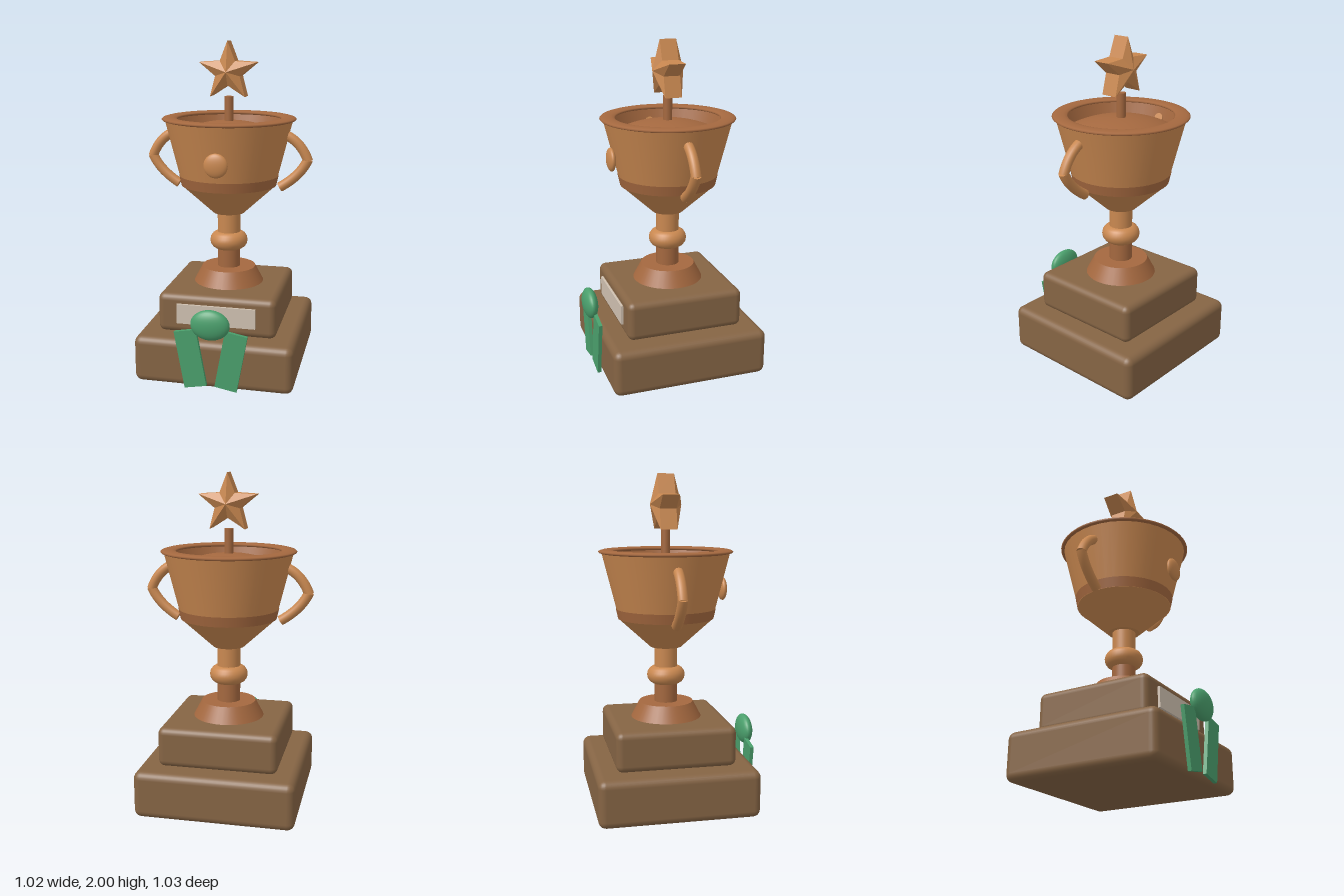
import * as THREE from 'three';
import { RoundedBoxGeometry } from 'three/addons/geometries/RoundedBoxGeometry.js';

const CZ = -0.037; // axis of the cup in z

function material(name, color, side = THREE.FrontSide) {
  const m = new THREE.MeshStandardMaterial({ color, side });
  m.name = name;
  return m;
}

// Five-pointed star with straight rim walls and a raised centre on both faces
function starGeometry(outer, inner, edge, peak) {
  const rim = [];
  for (let i = 0; i < 10; i++) {
    const a = Math.PI / 2 + (i * Math.PI) / 5;
    const r = i % 2 ? inner : outer;
    rim.push([r * Math.cos(a), r * Math.sin(a)]);
  }
  const pos = [];
  for (let i = 0; i < 10; i++) {
    const [ax, ay] = rim[i];
    const [bx, by] = rim[(i + 1) % 10];
    pos.push(0, 0, peak, ax, ay, edge, bx, by, edge);
    pos.push(0, 0, -peak, bx, by, -edge, ax, ay, -edge);
    pos.push(ax, ay, edge, ax, ay, -edge, bx, by, -edge);
    pos.push(ax, ay, edge, bx, by, -edge, bx, by, edge);
  }
  const g = new THREE.BufferGeometry();
  g.setAttribute('position', new THREE.Float32BufferAttribute(pos, 3));
  g.computeVertexNormals();
  return g;
}

export function createModel() {
  const bronze = material('bronze', 0xc98850, THREE.DoubleSide);
  const dark = material('dark bronze', 0xa4683f, THREE.DoubleSide);
  const wood = material('wood', 0x856444);
  const green = material('ribbon green', 0x4a9f6c);
  const silver = material('plaque', 0xcfc0b0);

  const model = new THREE.Group();
  model.name = 'trophy';
  const add = (name, geometry, mat, x, y, z) => {
    const m = new THREE.Mesh(geometry, mat);
    m.name = name;
    m.position.set(x, y, z);
    model.add(m);
    return m;
  };
  // Round part on the cup axis between two heights
  const round = (name, mat, y0, y1, r0, r1, open = false) =>
    add(name, new THREE.CylinderGeometry(r1, r0, y1 - y0, 40, 1, open), mat, 0, (y0 + y1) / 2, CZ);

  // Wooden plinth
  add('lowerPlinth', new RoundedBoxGeometry(0.955, 0.285, 0.955, 3, 0.045), wood, 0, 0.1475, CZ);
  add('upperPlinth', new RoundedBoxGeometry(0.715, 0.24, 0.715, 3, 0.04), wood, 0, 0.41, CZ);
  add('plaque', new THREE.BoxGeometry(0.475, 0.12, 0.02), silver, 0, 0.415, 0.325);

  // Foot and stem
  round('foot', dark, 0.53, 0.625, 0.215, 0.165);
  round('lowerStem', dark, 0.62, 0.79, 0.07, 0.07);
  round('upperStem', bronze, 0.79, 0.975, 0.07, 0.07);
  add('stemKnob', new THREE.TorusGeometry(0.06, 0.056, 16, 40), bronze, 0, 0.79, CZ)
    .rotation.x = Math.PI / 2;

  // Cup
  round('cupBase', bronze, 0.965, 1.14, 0.095, 0.287);
  round('cupWall', bronze, 1.14, 1.535, 0.285, 0.385, true);
  round('cupBand', dark, 1.14, 1.2, 0.29, 0.303, true);
  round('cupLining', dark, 1.4, 1.535, 0.346, 0.381, true);
  const rim = add('cupRim', new THREE.TorusGeometry(0.358, 0.047, 12, 48), dark, 0, 1.542, CZ);
  rim.rotation.x = Math.PI / 2;
  rim.scale.z = 0.28;

  // Shallow dome filling the cup
  const domeR = 0.72;
  const dome = new THREE.SphereGeometry(domeR, 40, 10, 0, Math.PI * 2, 0, Math.asin(0.355 / domeR));
  add('cupDome', dome, dark, 0, 1.53 - domeR, CZ);

  // Round medallion on the front of the cup
  add('medallion', new THREE.SphereGeometry(0.071, 24, 16), bronze, 0, 1.312, 0.315)
    .scale.z = 0.36;

  // Handles: an upper and a lower bent tube on each side
  const V = (x, y) => new THREE.Vector3(x, y, 0);
  for (const s of [1, -1]) {
    const arcs = {
      upperHandle: [V(s * 0.35, 1.45), V(s * 0.44, 1.41), V(s * 0.482, 1.3)],
      lowerHandle: [V(s * 0.482, 1.31), V(s * 0.44, 1.21), V(s * 0.315, 1.135)],
    };
    for (const [name, p] of Object.entries(arcs)) {
      const tube = new THREE.TubeGeometry(new THREE.QuadraticBezierCurve3(...p), 10, 0.03, 12);
      add(name, tube, bronze, 0, 0, CZ);
      // Flat caps closing the tube ends
      [[p[0], p[1]], [p[2], p[1]]].forEach(([end, mid]) => {
        const cap = add(name + 'Cap', new THREE.CircleGeometry(0.03, 12), bronze, end.x, end.y, CZ);
        const dir = end.clone().sub(mid).normalize();
        cap.quaternion.setFromUnitVectors(new THREE.Vector3(0, 0, 1), dir);
      });
    }
  }

  // Star on its post
  round('starPost', dark, 1.5, 1.675, 0.027, 0.027);
  add('star', starGeometry(0.18, 0.078, 0.05, 0.095), bronze, 0, 1.82, CZ);

  // Ribbon: knot and two tails
  add('ribbonKnot', new THREE.SphereGeometry(1, 28, 18), green, 0, 0.414, 0.468)
    .scale.set(0.116, 0.091, 0.045);
  for (const s of [1, -1]) {
    add('ribbonTail', new THREE.BoxGeometry(0.133, 0.35, 0.022), green, s * 0.121, 0.195, 0.456)
      .rotation.z = -s * 0.18;
  }
  return model;
}
